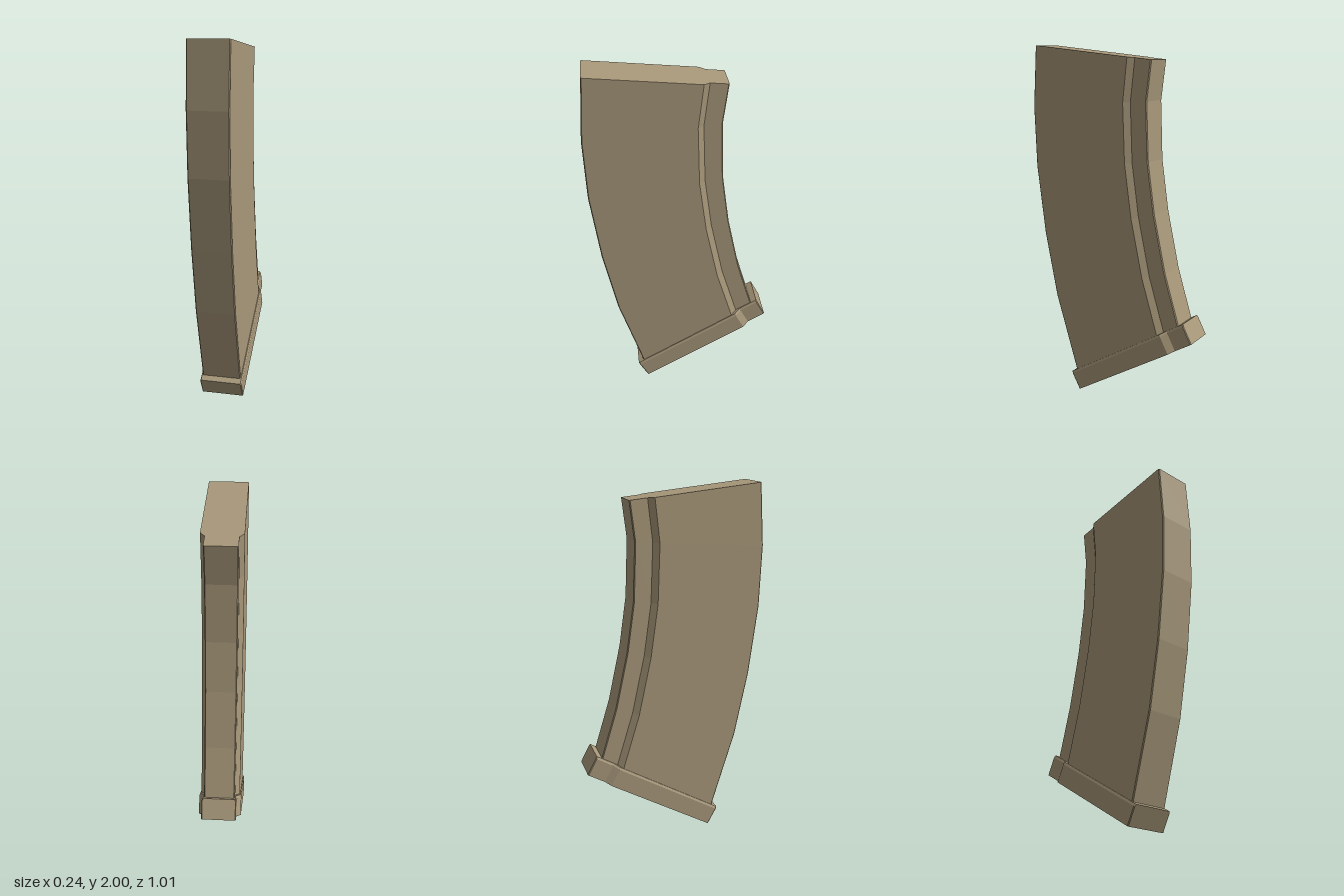
import * as THREE from 'three';

const material = new THREE.MeshStandardMaterial({ color: 0xa8987a, flatShading: true });

// Half outline running front to back: [fraction of depth, half width], with a stepped-in spine
const outline = (wide, narrow, bevel) => [
  [0, wide - bevel], [bevel * 1.4, wide], [0.82, wide],
  [0.865, narrow], [1 - bevel * 1.4, narrow], [1, narrow - bevel],
];

// Lofts a mirrored outline through sections [frontZ, frontY, backZ, backY, inset], top to bottom
function loft(name, sections, half) {
  const ring = [...half, ...half.map(([f, x]) => [f, -x]).reverse()];
  const n = ring.length;
  const positions = [];
  const index = [];
  for (const [fz, fy, bz, by, inset = 0] of sections) {
    for (const [f, x] of ring) {
      positions.push(x - Math.sign(x) * inset, fy + (by - fy) * f, fz + (bz - fz) * f);
    }
  }
  // Side walls
  for (let s = 0; s < sections.length - 1; s++) {
    for (let i = 0; i < n; i++) {
      const j = (i + 1) % n;
      const a = s * n + i, b = s * n + j, c = b + n, d = a + n;
      index.push(a, d, c, a, c, b);
    }
  }
  // End caps, bridged across the mirror plane
  const last = (sections.length - 1) * n;
  for (let i = 0; i < n / 2 - 1; i++) {
    const a = i, b = i + 1, c = n - 2 - i, d = n - 1 - i;
    index.push(a, b, c, a, c, d);
    index.push(last + a, last + c, last + b, last + a, last + d, last + c);
  }
  const geometry = new THREE.BufferGeometry();
  geometry.setAttribute('position', new THREE.Float32BufferAttribute(positions, 3));
  geometry.setIndex(index);
  const flat = geometry.toNonIndexed();
  flat.computeVertexNormals();
  const mesh = new THREE.Mesh(flat, material);
  mesh.name = name;
  return mesh;
}

export function createModel() {
  const group = new THREE.Group();
  group.name = 'curvedMagazine';

  // Curved body, ending just inside the base plate
  group.add(loft('curvedBody', [
    [0.485, 2.0, -0.24, 1.925],
    [0.507, 1.66, -0.213, 1.71],
    [0.495, 1.32, -0.225, 1.39],
    [0.445, 0.93, -0.265, 1.11],
    [0.37, 0.56, -0.335, 0.79],
    [0.235, 0.12, -0.42, 0.51],
    [0.228, 0.1, -0.427, 0.49],
  ], outline(0.11, 0.085, 0.005)));

  // Slanted base plate with softened upper side edges
  group.add(loft('basePlate', [
    [0.265, 0.1, -0.452, 0.525, 0.006],
    [0.259, 0.089, -0.458, 0.514],
    [0.21, 0, -0.507, 0.42],
  ], outline(0.12, 0.096, 0.004)));

  return group;
}
